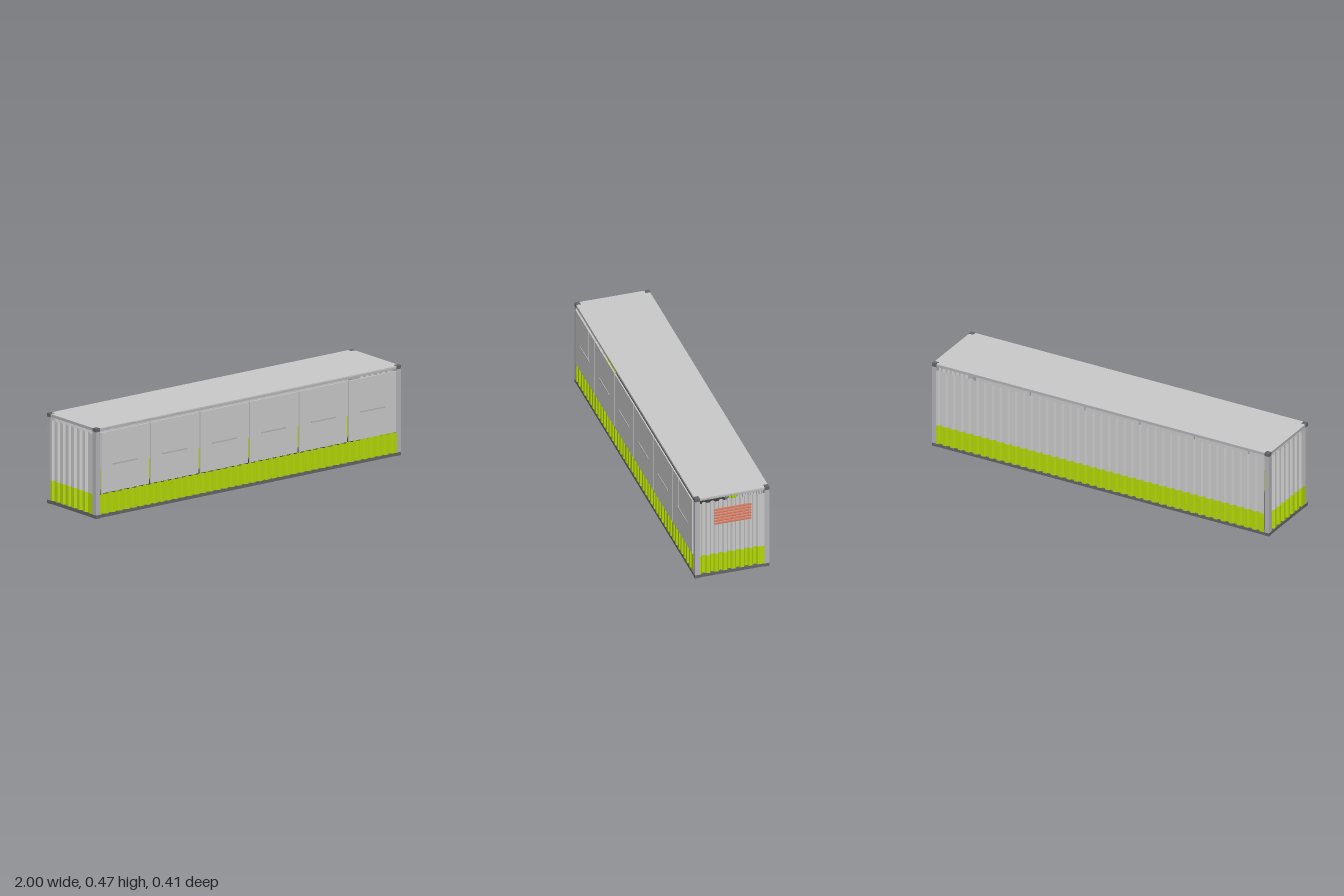
import * as THREE from 'three';

const material = (color, side = THREE.FrontSide) =>
  new THREE.MeshStandardMaterial({ color, side, flatShading: true });

// Trapezoidal sheet centred on x, outer face at z = 0, rising from y0 to y1
function corrugatedSheet(length, y0, y1) {
  const pitch = 0.0455, depth = 0.012, start = -length / 2;
  const profile = [[start, 0]];
  for (let i = 0; i < Math.floor((length - 0.015) / pitch); i++) {
    const x = start + i * pitch;
    profile.push([x + 0.010, 0], [x + 0.017, -depth], [x + 0.031, -depth], [x + 0.038, 0]);
  }
  profile.push([length / 2, 0]);
  const positions = [];
  for (let i = 0; i < profile.length - 1; i++) {
    const [ax, az] = profile[i], [bx, bz] = profile[i + 1];
    positions.push(ax, y0, az, bx, y0, bz, bx, y1, bz, ax, y0, az, bx, y1, bz, ax, y1, az);
  }
  const geometry = new THREE.BufferGeometry();
  geometry.setAttribute('position', new THREE.Float32BufferAttribute(positions, 3));
  geometry.computeVertexNormals();
  return geometry;
}

export function createModel() {
  const model = new THREE.Group();
  model.name = 'container';

  const grey = material(0xcccccc);
  const frame = material(0xb4b4ba);
  const dark = material(0x66666a);
  const floorDark = material(0x38383a);
  const red = material(0xd9785c);
  const sheetGrey = material(0xcccccc, THREE.DoubleSide);
  const sheetGreen = material(0xb4da08, THREE.DoubleSide);

  // Box given by its minimum and maximum corners
  const box = (name, mat, [x0, y0, z0], [x1, y1, z1], parent = model) => {
    const mesh = new THREE.Mesh(new THREE.BoxGeometry(x1 - x0, y1 - y0, z1 - z0), mat);
    mesh.position.set((x0 + x1) / 2, (y0 + y1) / 2, (z0 + z1) / 2);
    mesh.name = name;
    parent.add(mesh);
    return mesh;
  };

  const X0 = -0.997, X1 = 0.985, Z0 = -0.202, Z1 = 0.197;
  const H = 0.475, C = 0.026, R = 0.018;
  const midX = (X0 + X1) / 2, midZ = (Z0 + Z1) / 2;

  // Corner posts with a casting at each end
  for (const x of [X0, X1 - C]) {
    for (const z of [Z0, Z1 - C]) {
      box('cornerPost', frame, [x, R, z], [x + C, H - R, z + C]);
      for (const y of [0, H - R]) {
        box('cornerCasting', dark, [x, y, z], [x + C, y + R, z + C]);
      }
    }
  }

  // Bottom and top rails
  for (const z of [Z0, Z1 - C]) {
    box('bottomSideRail', dark, [X0 + C, 0.001, z + 0.001], [X1 - C, R, z + C - 0.001]);
    box('topSideRail', frame, [X0 + C, H - 0.016, z + 0.002], [X1 - C, H - 0.002, z + C - 0.002]);
  }
  for (const x of [X0, X1 - C]) {
    box('bottomEndRail', dark, [x + 0.001, 0.001, Z0 + C], [x + C - 0.001, R, Z1 - C]);
    box('topEndRail', frame, [x + 0.002, H - 0.016, Z0 + C], [x + C - 0.002, H - 0.002, Z1 - C]);
  }

  // Floor and roof
  box('floor', floorDark, [X0 + 0.004, 0.0005, Z0 + 0.004], [X1 - 0.004, 0.015, Z1 - 0.004]);
  box('roof', grey, [X0 + 0.002, H - 0.008, Z0 + 0.002], [X1 - 0.002, H - 0.001, Z1 - 0.002]);

  // Corrugated walls: green band below, grey above
  const longWall = X1 - X0 - 2 * C, endWall = Z1 - Z0 - 2 * C;
  const walls = [
    ['frontWall', longWall, midX, Z1 + 0.001, 0, false],
    ['backWall', longWall, midX, Z0 - 0.002, Math.PI, true],
    ['leftEndWall', endWall, X1 - 0.002, midZ, Math.PI / 2, true],
    ['rightEndWall', endWall, X0 + 0.002, midZ, -Math.PI / 2, true],
  ];
  for (const [name, length, x, z, turn, full] of walls) {
    const wall = new THREE.Group();
    wall.name = name;
    wall.position.set(x, 0, z);
    wall.rotation.y = turn;
    const band = new THREE.Mesh(corrugatedSheet(length, R, 0.124), sheetGreen);
    band.name = 'greenBand';
    wall.add(band);
    if (full) {
      const upper = new THREE.Mesh(corrugatedSheet(length, 0.124, 0.441), sheetGrey);
      upper.name = 'upperSheet';
      wall.add(upper);
    }
    model.add(wall);
  }

  // Six front hatch panels, each with a bar handle hung on two thin rods
  const pitch = longWall / 6;
  for (let i = 0; i < 6; i++) {
    const hatch = new THREE.Group();
    hatch.name = 'hatch' + (i + 1);
    hatch.position.x = X0 + C + (i + 0.5) * pitch;
    const half = pitch / 2 - 0.005;
    box('hatchPanel', grey, [-half, 0.13, 0.195], [half, 0.45, 0.202], hatch);
    for (const x of [-0.065, 0.065]) {
      box('handleRod', grey, [x - 0.001, 0.275, 0.202], [x + 0.001, 0.45, 0.203], hatch);
    }
    box('handle', frame, [-0.08, 0.271, 0.202], [0.08, 0.279, 0.206], hatch);
    model.add(hatch);
  }

  // Louvred vent on the left end
  const vent = new THREE.Group();
  vent.name = 'vent';
  for (let i = 0; i < 6; i++) {
    const y = 0.312 + i * 0.0164;
    box('ventSlat', red, [0.99, y, -0.1], [1.0, y + 0.007, 0.095], vent);
    for (const z of [-0.096, 0.086]) {
      box('ventBracket', grey, [0.97, y + 0.002, z], [0.991, y + 0.005, z + 0.004], vent);
    }
  }
  model.add(vent);

  return model;
}
